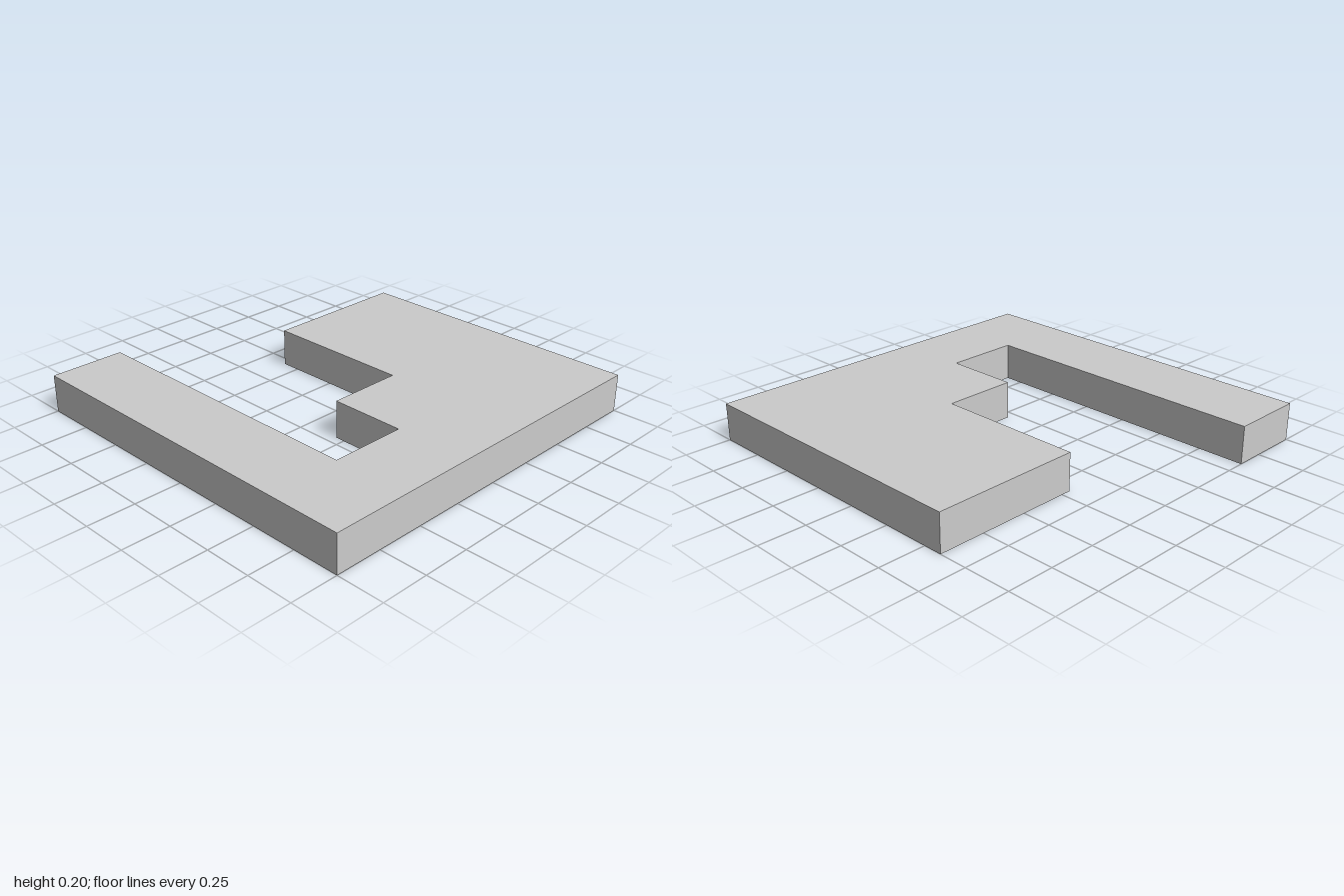
import * as THREE from 'three';

export function createModel() {
  const thickness = 0.2;

  // Plan outline as [x, z]: wide back block, stepped left side, long front arm
  const outline = [
    [-0.6, -1], [1, -1], [1, 1], [-1, 1], [-1, 0.6],
    [0.6, 0.6], [0.6, 0.2], [0.2, 0.2], [0.2, -0.2], [-0.6, -0.2],
  ];
  const shape = new THREE.Shape(outline.map(([x, z]) => new THREE.Vector2(x, z)));

  // Extrude, then lay flat so the shape's y becomes z and the slab rests on y = 0
  const geometry = new THREE.ExtrudeGeometry(shape, { depth: thickness, bevelEnabled: false });
  geometry.rotateX(Math.PI / 2);
  geometry.translate(0, thickness, 0);

  const slab = new THREE.Mesh(
    geometry,
    new THREE.MeshStandardMaterial({ color: 0xcccccc, flatShading: true })
  );
  slab.name = 'steppedSlab';

  const group = new THREE.Group();
  group.name = 'steppedPlate';
  group.add(slab);
  return group;
}
